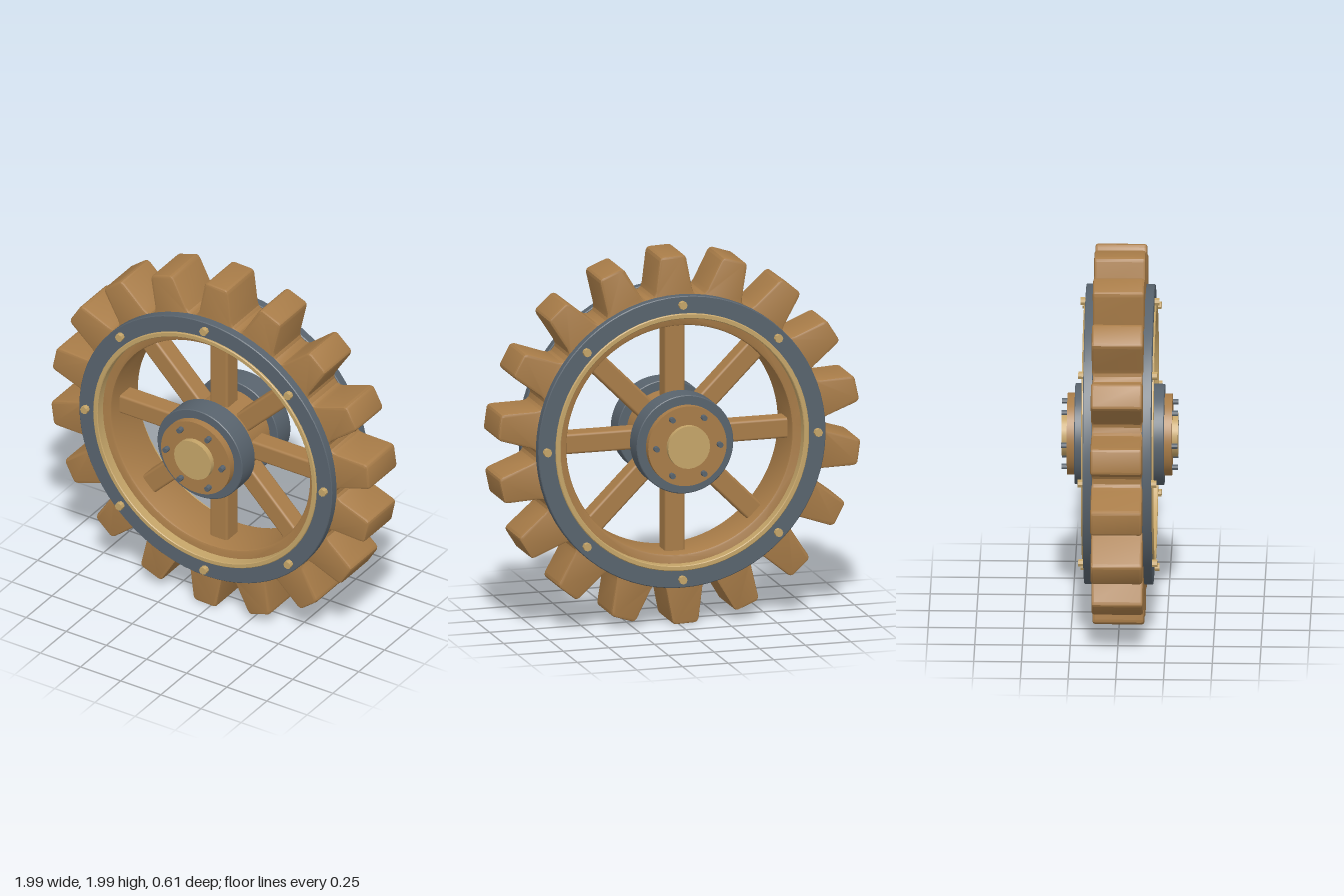
import * as THREE from 'three';
import { toCreasedNormals } from 'three/addons/utils/BufferGeometryUtils.js';
import { RoundedBoxGeometry } from 'three/addons/geometries/RoundedBoxGeometry.js';

const TEETH = 18;
const TOOTH_START = THREE.MathUtils.degToRad(8);

function material(name, color) {
  const m = new THREE.MeshStandardMaterial({ color });
  m.name = name;
  return m;
}

// Flat-sided ring about the z axis, from z0 to z1
function ringGeometry(inner, outer, z0, z1, bevel = 0.004) {
  const b = bevel;
  const profile = [
    [inner, z0], [outer - b, z0], [outer, z0 + b], [outer, z1 - b],
    [outer - b, z1], [inner + b, z1], [inner, z1 - b], [inner, z0],
  ].map(([r, z]) => new THREE.Vector2(r, z));
  const g = new THREE.LatheGeometry(profile, 72).rotateX(Math.PI / 2);
  return toCreasedNormals(g, 0.6);
}

// Cylinder lying along z
function discGeometry(radius, depth, sides) {
  const g = new THREE.CylinderGeometry(radius, radius, depth, sides).rotateX(Math.PI / 2);
  return sides > 12 ? g : toCreasedNormals(g, 0.3);
}

// Toothed rim: half of one tooth as [radius along the tooth, half width], mirrored and repeated
function rimGeometry() {
  const half = [[0.774, 0.122], [0.786, 0.108], [0.81, 0.1], [0.975, 0.074], [0.99, 0.066], [0.996, 0.054]];
  const tooth = [
    ...half.map(([r, w]) => [r, -w]),
    ...half.slice().reverse().map(([r, w]) => [r, w]),
  ];
  const outline = [];
  for (let i = 0; i < TEETH; i++) {
    const a = TOOTH_START + (i / TEETH) * Math.PI * 2;
    const c = Math.cos(a), s = Math.sin(a);
    for (const [r, w] of tooth) outline.push(new THREE.Vector2(r * c - w * s, r * s + w * c));
  }
  const shape = new THREE.Shape(outline);
  shape.holes.push(new THREE.Path().absarc(0, 0, 0.617, 0, Math.PI * 2, true));
  const bevel = 0.013;
  const g = new THREE.ExtrudeGeometry(shape, {
    depth: 0.27 - 2 * bevel, curveSegments: 72,
    bevelEnabled: true, bevelThickness: bevel, bevelSize: bevel, bevelOffset: -bevel, bevelSegments: 2,
  });
  g.translate(0, 0, -0.135 + bevel);
  return toCreasedNormals(g, 0.5);
}

export function createModel() {
  const wood = material('wood', 0xa87c48);
  const iron = material('iron', 0x58636d);
  const brass = material('brass', 0xc4a468);

  const model = new THREE.Group();
  model.name = 'gearWheel';
  const wheel = new THREE.Group();
  wheel.name = 'wheel';
  wheel.position.y = 1;
  model.add(wheel);

  const add = (name, geometry, mat, parent = wheel) => {
    const mesh = new THREE.Mesh(geometry, mat);
    mesh.name = name;
    parent.add(mesh);
    return mesh;
  };

  add('toothedRim', rimGeometry(), wood);

  // Spokes
  const spoke = new RoundedBoxGeometry(0.11, 0.47, 0.11, 2, 0.014);
  spoke.translate(0, 0.405, 0);
  for (let i = 0; i < 8; i++) add('spoke', spoke, wood).rotation.z = (i * Math.PI) / 4;

  // Hub core and axle run right through
  add('hubCore', discGeometry(0.215, 0.55, 64), wood);
  add('axle', discGeometry(0.115, 0.61, 24), brass);

  // Bands, trim and bolts, the same on both faces
  const ironBand = ringGeometry(0.685, 0.788, 0.13, 0.18);
  const brassTrim = ringGeometry(0.667, 0.695, 0.13, 0.19);
  const hubBand = ringGeometry(0.2, 0.265, 0.11, 0.235);
  const rimBolt = discGeometry(0.022, 0.05, 8);
  const hubBolt = discGeometry(0.015, 0.05, 8);
  for (const turn of [0, Math.PI]) {
    const side = new THREE.Group();
    side.name = turn ? 'backFittings' : 'frontFittings';
    side.rotation.y = turn;
    wheel.add(side);
    add('rimBand', ironBand, iron, side);
    add('rimTrim', brassTrim, brass, side);
    add('hubBand', hubBand, iron, side);
    const bolts = (name, geometry, mat, count, radius, z) => {
      for (let i = 0; i < count; i++) {
        const a = (i / count) * Math.PI * 2;
        add(name, geometry, mat, side).position.set(radius * Math.cos(a), radius * Math.sin(a), z);
      }
    };
    bolts('rimBolt', rimBolt, brass, 8, 0.742, 0.182);
    bolts('hubBolt', hubBolt, iron, 6, 0.174, 0.28);
  }
  return model;
}
